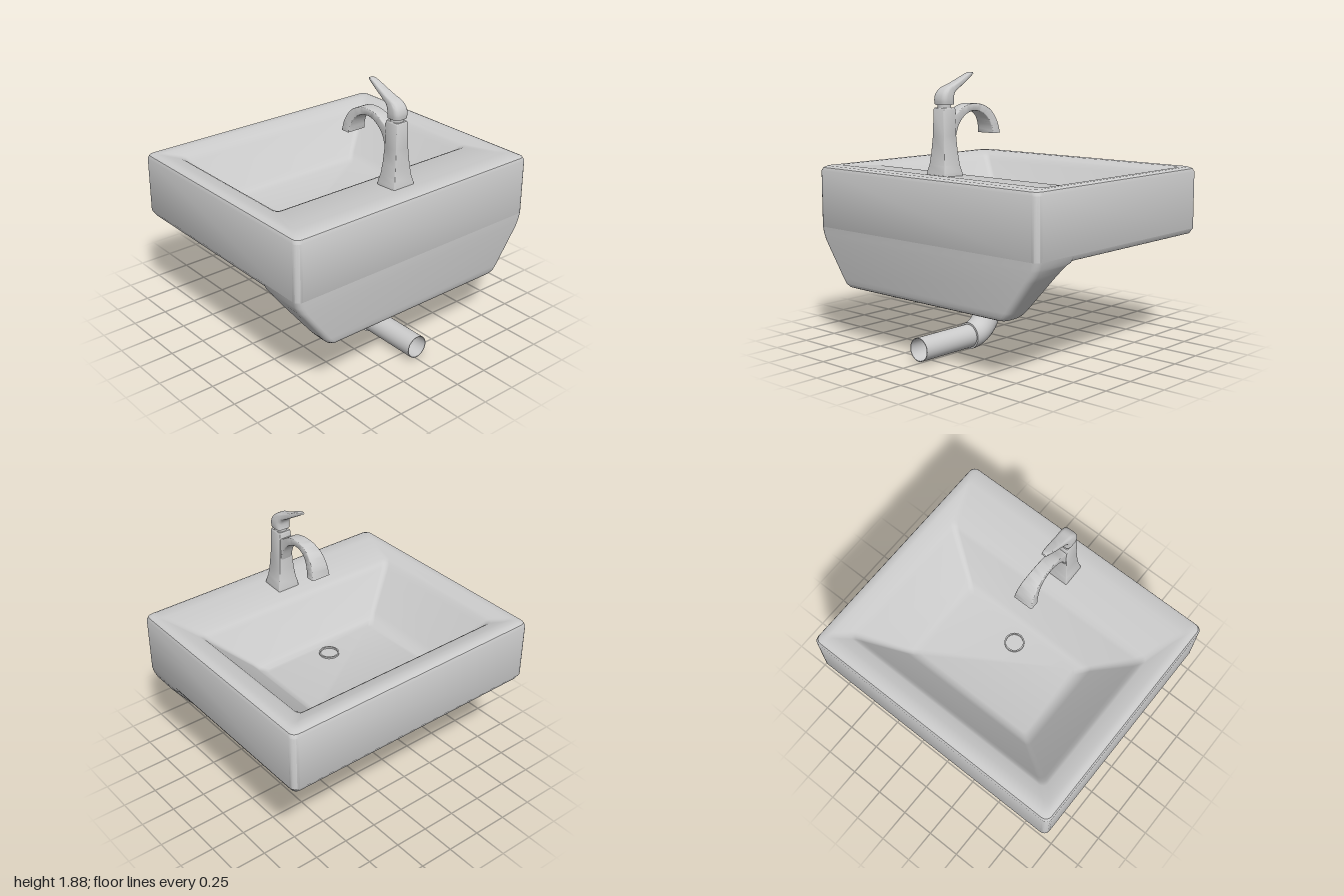
import * as THREE from 'three';
import { toCreasedNormals } from 'three/addons/utils/BufferGeometryUtils.js';

const material = new THREE.MeshStandardMaterial({ color: 0xcccccc, side: THREE.DoubleSide });

// Skins a list of equal-length closed rings, caps both ends and faces it outward
function loft(rings, crease = 0.6) {
  const n = rings[0].length;
  const pts = rings.flat();
  const index = [];
  for (let i = 0; i < rings.length - 1; i++) {
    for (let j = 0; j < n; j++) {
      const a = i * n + j, b = i * n + (j + 1) % n;
      index.push(a, b, b + n, a, b + n, a + n);
    }
  }
  const last = (rings.length - 1) * n;
  for (let j = 1; j < n - 1; j++) {
    index.push(0, j + 1, j, last, last + j, last + j + 1);
  }
  let volume = 0;
  for (let i = 0; i < index.length; i += 3) {
    const [a, b, c] = [pts[index[i]], pts[index[i + 1]], pts[index[i + 2]]];
    volume += a.dot(b.clone().cross(c));
  }
  if (volume < 0) index.reverse();
  const geometry = new THREE.BufferGeometry().setFromPoints(pts);
  geometry.setIndex(index);
  return toCreasedNormals(geometry, crease);
}

// Outline of a rounded rectangle as [u, v] pairs
function roundedRect(u0, u1, v0, v1, r, steps = 4) {
  const out = [];
  const corners = [[u1 - r, v1 - r], [u0 + r, v1 - r], [u0 + r, v0 + r], [u1 - r, v0 + r]];
  corners.forEach(([u, v], k) => {
    for (let i = 0; i <= steps; i++) {
      const a = (k + i / steps) * Math.PI / 2;
      out.push([u + r * Math.cos(a), v + r * Math.sin(a)]);
    }
  });
  return out;
}

// Horizontal ring: [y, x0, x1, half depth, corner radius]
const level = ([y, x0, x1, hz, r]) =>
  roundedRect(x0, x1, -hz, hz, r).map(([x, z]) => new THREE.Vector3(x, y, z));

// Ring spanning a to b in the xy plane: [ax, ay, bx, by, half depth]
const slice = ([ax, ay, bx, by, hz], round) => {
  const d = Math.hypot(bx - ax, by - ay);
  return roundedRect(0, d, -hz, hz, Math.min(d, 2 * hz) * round)
    .map(([t, z]) => new THREE.Vector3(ax + (bx - ax) * t / d, ay + (by - ay) * t / d, z));
};

// Smoothly resamples a list of section rows
function smoothRows(rows, count) {
  const spline = k => new THREE.CatmullRomCurve3(
    rows.map(r => new THREE.Vector3(r[k], r[k + 1], r[4])), false, 'centripetal');
  const a = spline(0), b = spline(2);
  return Array.from({ length: count + 1 }, (_, i) => {
    const p = a.getPoint(i / count), q = b.getPoint(i / count);
    return [p.x, p.y, q.x, q.y, (p.z + q.z) / 2];
  });
}

// Hollow straight pipe along y, centred on its own origin
function pipe(outer, inner, length) {
  const h = length / 2;
  const profile = [[inner, -h], [outer, -h], [outer, h], [inner, h], [inner, -h]];
  const lathe = new THREE.LatheGeometry(profile.map(p => new THREE.Vector2(...p)), 40);
  return toCreasedNormals(lathe, 0.6);
}

export function createModel() {
  const model = new THREE.Group();
  const add = (name, geometry, parent = model) => {
    const mesh = new THREE.Mesh(geometry, material);
    mesh.name = name;
    parent.add(mesh);
    return mesh;
  };

  // Basin: outer shell, rounded rim, shallow dished border, sloping bowl
  add('basin', loft([
    [0.755, -0.81, 0.80, 0.95, 0.03],
    [0.765, -0.84, 0.83, 0.98, 0.04],
    [0.80, -0.86, 0.85, 1.0, 0.045],
    [1.195, -0.86, 0.85, 1.0, 0.045],
    [1.218, -0.85, 0.84, 0.99, 0.045],
    [1.23, -0.825, 0.815, 0.965, 0.04],
    [1.23, -0.77, 0.72, 0.93, 0.03],
    [1.222, -0.75, 0.66, 0.905, 0.03],
    [1.21, -0.69, 0.44, 0.84, 0.04],
    [1.195, -0.67, 0.41, 0.815, 0.04],
    [1.165, -0.65, 0.39, 0.79, 0.04],
    [0.95, -0.48, 0.235, 0.55, 0.03],
    [0.915, -0.45, 0.205, 0.515, 0.03],
    [0.90, -0.41, 0.165, 0.47, 0.03],
  ].map(level)));

  // Tapered skirt hanging below the wall side
  add('wallSkirt', loft([
    [0.80, 0.47, 0.85, 1.0, 0.045],
    [0.757, 0.49, 0.85, 0.99, 0.045],
    [0.74, 0.53, 0.85, 0.982, 0.045],
    [0.71, 0.56, 0.85, 0.968, 0.045],
    [0.67, 0.58, 0.85, 0.94, 0.045],
    [0.46, 0.65, 0.85, 0.785, 0.045],
    [0.425, 0.67, 0.847, 0.755, 0.04],
    [0.405, 0.69, 0.835, 0.73, 0.035],
    [0.393, 0.72, 0.805, 0.69, 0.03],
  ].map(level)));

  // Drain ring on the bowl floor
  add('drainRing', pipe(0.07, 0.06, 0.03)).position.set(0.063, 0.897, 0);

  // Waste pipe: drop, elbow and outlet to the wall
  const waste = new THREE.Group();
  waste.name = 'wastePipe';
  model.add(waste);
  add('dropPipe', pipe(0.08, 0.075, 0.46), waste).position.set(0.195, 0.54, 0);
  const outlet = add('outletPipe', pipe(0.08, 0.075, 0.48), waste);
  outlet.position.set(0.62, 0.095, 0);
  outlet.rotation.z = Math.PI / 2;
  const bend = new THREE.TorusGeometry(0.195, 0.092, 32, 20, Math.PI / 2);
  const elbow = add('elbow', bend, waste);
  elbow.position.set(0.39, 0.29, 0);
  elbow.rotation.z = Math.PI;
  add('elbowTopCollar', pipe(0.092, 0.075, 0.035), waste).position.set(0.195, 0.3075, 0);
  const collar = add('elbowEndCollar', pipe(0.092, 0.075, 0.01), waste);
  collar.position.set(0.388, 0.095, 0);
  collar.rotation.z = Math.PI / 2;

  // Faucet: flared column, neck, arched spout and lever
  const faucet = new THREE.Group();
  faucet.name = 'faucet';
  model.add(faucet);
  add('faucetColumn', loft([
    [1.215, 0.523, 0.692, 0.086, 0.008],
    [1.24, 0.525, 0.69, 0.085, 0.008],
    [1.29, 0.536, 0.678, 0.073, 0.008],
    [1.37, 0.544, 0.67, 0.063, 0.008],
    [1.48, 0.549, 0.663, 0.054, 0.008],
    [1.65, 0.55, 0.66, 0.049, 0.008],
    [1.66, 0.555, 0.655, 0.044, 0.008],
  ].map(level)), faucet);
  add('neck', new THREE.CylinderGeometry(0.044, 0.044, 0.03, 32), faucet)
    .position.set(0.605, 1.67, 0);

  add('spout', loft(smoothRows([
    [0.145, 1.475, 0.215, 1.475, 0.073],
    [0.165, 1.555, 0.228, 1.535, 0.066],
    [0.215, 1.63, 0.262, 1.59, 0.056],
    [0.29, 1.67, 0.312, 1.622, 0.048],
    [0.38, 1.68, 0.38, 1.632, 0.044],
    [0.465, 1.663, 0.45, 1.607, 0.043],
    [0.53, 1.625, 0.51, 1.55, 0.044],
    [0.59, 1.60, 0.555, 1.43, 0.045],
  ], 28).map(s => slice(s, 0.12))), faucet);

  add('lever', loft(smoothRows([
    [0.553, 1.68, 0.658, 1.68, 0.053],
    [0.556, 1.705, 0.66, 1.715, 0.056],
    [0.553, 1.735, 0.647, 1.755, 0.054],
    [0.535, 1.762, 0.61, 1.79, 0.047],
    [0.505, 1.78, 0.545, 1.812, 0.04],
    [0.43, 1.825, 0.45, 1.852, 0.031],
    [0.365, 1.863, 0.372, 1.884, 0.021],
    [0.347, 1.874, 0.352, 1.884, 0.016],
  ], 24).map(s => slice(s, 0.3))), faucet);

  return model;
}
